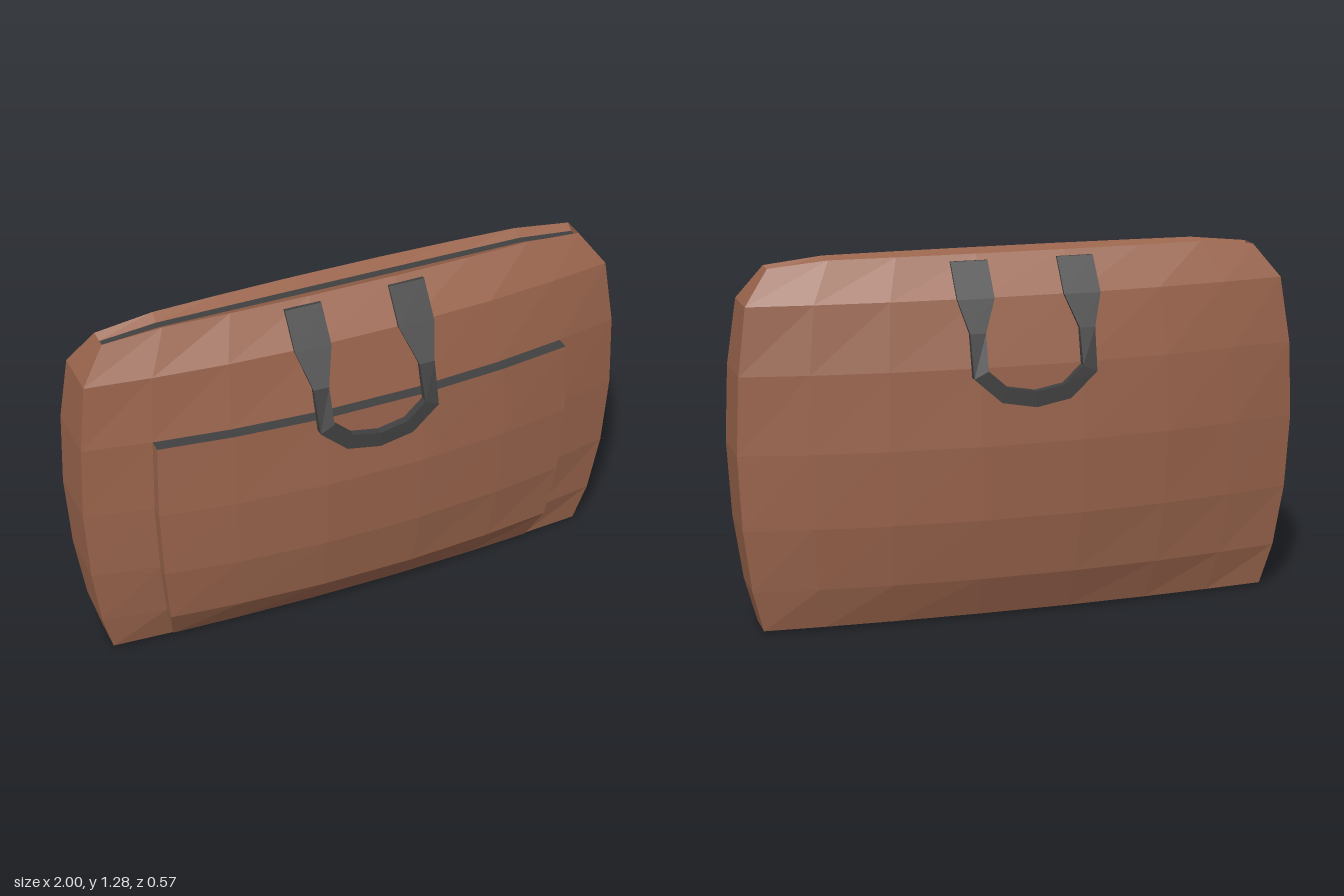
import * as THREE from 'three';

const leather = new THREE.MeshStandardMaterial({ color: 0x99644c, flatShading: true, side: THREE.DoubleSide });
const webbing = new THREE.MeshStandardMaterial({ color: 0x404040, flatShading: true, side: THREE.DoubleSide });

const CENTRE_Z = -0.022;
const COLUMNS = [-1, -0.765, -0.5, -0.18, 0.18, 0.5, 0.765, 1];
// Body rows from the base to the zip: y, half width, half depth in the middle, half depth at the ends
const ROWS = [
  [0.0, 0.87, 0, 0],
  [0.01, 0.918, 0.1, 0.062],
  [0.16, 0.957, 0.17, 0.085],
  [0.385, 0.987, 0.217, 0.103],
  [0.65, 1.0, 0.232, 0.11],
  [0.92, 0.987, 0.217, 0.11],
  [1.15, 0.955, 0.166, 0.09],
  [1.285, 0.868, 0.066, 0.038],
  [1.265, 0.868, 0.016, 0.013],
];

// Surface point at a row and a fraction u of the width; side is 1 for front, -1 for back
function bodyPoint(row, u, side = 1, lift = 0) {
  const [y, w, mid, end] = ROWS[row];
  const depth = end + (mid - end) * (1 - u * u) + lift;
  const drop = row >= 7 && Math.abs(u) === 1 ? 0.02 : 0;
  return [u * w, y - drop, CENTRE_Z + side * depth];
}

// Flat-shaded sheet through a grid of points
function sheet(name, points, material) {
  const positions = [];
  for (let r = 0; r < points.length - 1; r++) {
    for (let c = 0; c < points[r].length - 1; c++) {
      const a = points[r][c], b = points[r][c + 1];
      const d = points[r + 1][c], e = points[r + 1][c + 1];
      positions.push(...a, ...b, ...e, ...a, ...e, ...d);
    }
  }
  const geometry = new THREE.BufferGeometry();
  geometry.setAttribute('position', new THREE.Float32BufferAttribute(positions, 3));
  geometry.computeVertexNormals();
  const mesh = new THREE.Mesh(geometry, material);
  mesh.name = name;
  return mesh;
}

function makeBody() {
  const group = new THREE.Group();
  group.name = 'body';
  const order = ROWS.map((_, i) => i);
  const front = order.map(r => COLUMNS.map(u => bodyPoint(r, u, 1)));
  const back = order.map(r => COLUMNS.map(u => bodyPoint(r, u, -1))).reverse();
  group.add(sheet('frontPanel', front, leather), sheet('backPanel', back, leather));
  // Flat end panels
  for (const u of [1, -1]) {
    const panel = order.map(r => [bodyPoint(r, u, u), bodyPoint(r, u, -u)]);
    group.add(sheet(u > 0 ? 'leftEnd' : 'rightEnd', panel, leather));
  }
  // Zip sunk between the two top ridges
  const zip = [1, -1].map(s => COLUMNS.map(u => bodyPoint(8, u, s)));
  group.add(sheet('zip', zip, webbing));
  return group;
}

function makePocket() {
  const group = new THREE.Group();
  group.name = 'frontPocket';
  const columns = COLUMNS.slice(1, -1);
  const rows = [1, 2, 3, 4, 5];
  const lift = r => (r === 1 ? 0.004 : 0.045);
  const outer = rows.map(r => columns.map(u => bodyPoint(r, u, 1, lift(r))));
  const inner = rows.map(r => columns.map(u => bodyPoint(r, u, 1, 0)));
  const last = columns.length - 1;
  group.add(
    sheet('pocketFace', outer, leather),
    sheet('pocketOpening', [outer[4], inner[4]], webbing),
    sheet('pocketBase', [inner[0], outer[0]], leather),
    sheet('pocketLeftSide', rows.map((_, i) => [outer[i][last], inner[i][last]]), leather),
    sheet('pocketRightSide', rows.map((_, i) => [inner[i][0], outer[i][0]]), leather),
  );
  return group;
}

// Carry handle: a flat patch each side tapering into a hanging loop
function makeHandle(name, side, depths) {
  // x, y, strap width, thickness, direction of the width (x, y)
  const half = [
    [0.188, 1.265, 0.13, 0.012, 1, 0],
    [0.188, 1.15, 0.13, 0.012, 1, 0],
    [0.193, 1.04, 0.055, 0.018, 1, 0],
    [0.192, 0.905, 0.056, 0.028, 0.9, -0.44],
    [0.11, 0.832, 0.055, 0.028, 0.4, -0.92],
    [0, 0.812, 0.055, 0.028, 0, -1],
  ].map((p, i) => [...p, depths[i]]);
  const mirrored = half.slice(0, -1).reverse().map(([x, y, w, t, dx, dy, z]) => [-x, y, w, t, -dx, dy, z]);
  const path = [...half, ...mirrored];
  const corners = [[1, 1], [-1, 1], [-1, -1], [1, -1], [1, 1]];
  if (side < 0) corners.reverse();
  const rings = path.map(([x, y, w, t, dx, dy, z]) => corners.map(([a, b]) =>
    [x + a * dx * w / 2, y + a * dy * w / 2, z + side * b * t / 2]));
  // Close both patch ends
  const cap = ([x, y, , , , , z]) => corners.map(() => [x, y, z]);
  return sheet(name, [cap(path[0]), ...rings, cap(path[path.length - 1])], webbing);
}

export function createModel() {
  const model = new THREE.Group();
  model.name = 'travelBag';
  model.add(
    makeBody(),
    makePocket(),
    makeHandle('frontHandle', 1, [0.062, 0.147, 0.222, 0.265, 0.268, 0.27]),
    makeHandle('backHandle', -1, [-0.106, -0.191, -0.23, -0.262, -0.268, -0.27]),
  );
  return model;
}
